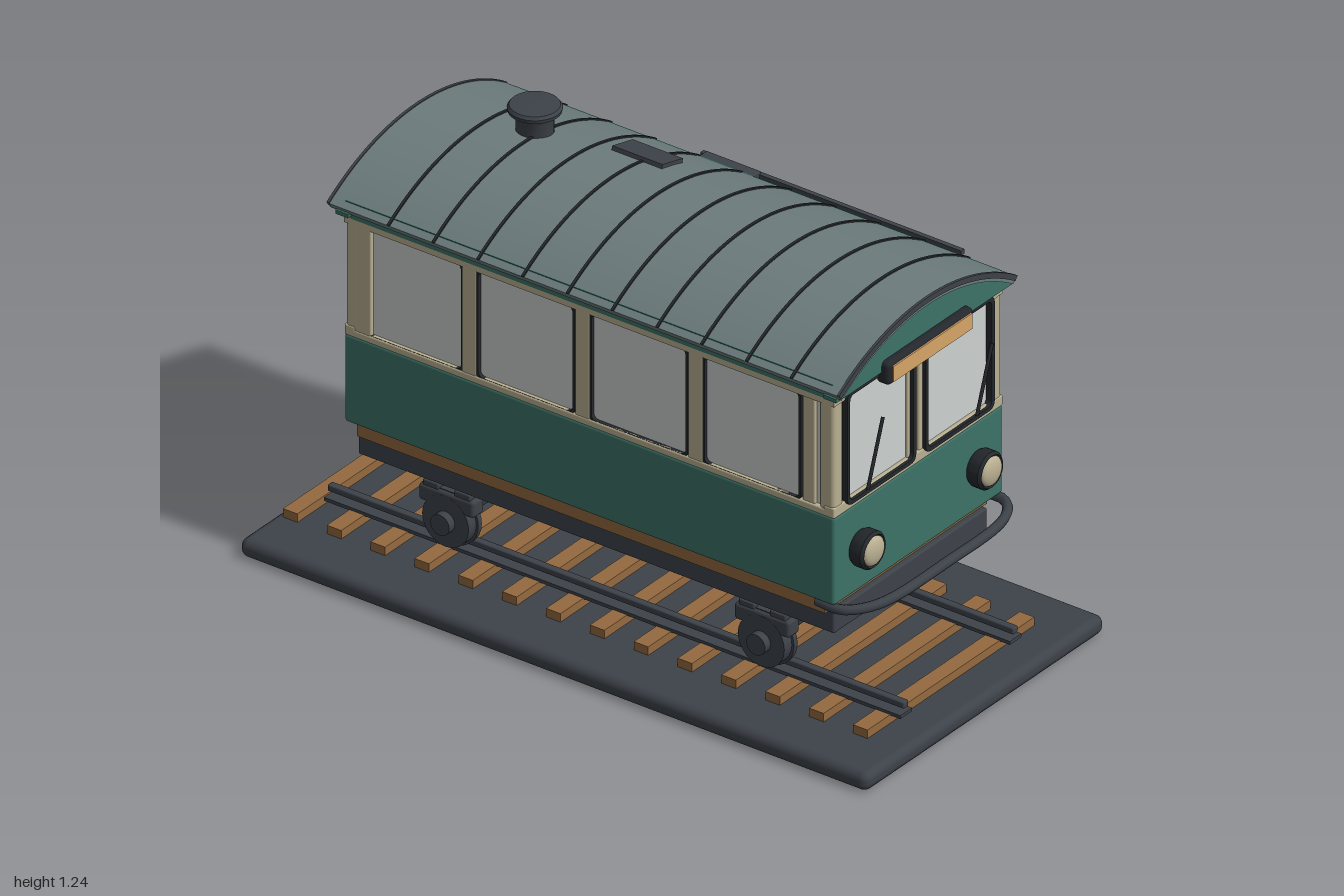
import * as THREE from 'three';
import { toCreasedNormals } from 'three/addons/utils/BufferGeometryUtils.js';
import { RoundedBoxGeometry } from 'three/addons/geometries/RoundedBoxGeometry.js';

const mat = (name, color) => Object.assign(new THREE.MeshStandardMaterial({ color }), { name });
const green = mat('body green', 0x3c7368), cream = mat('cream trim', 0xbab092), wood = mat('wood', 0x94693f);
const dark = mat('dark metal', 0x3d4249), black = mat('black rubber', 0x24282c), glass = mat('pale glass', 0xcdd1d0);
const roofGrey = mat('roof grey', 0x6c7b7c), amber = mat('sign amber', 0xd6a468), rust = mat('rust', 0xa8683a);

export function createModel() {
  const model = new THREE.Group();
  model.position.x = -0.01;
  model.name = 'tram';

  const add = (name, geo, m, x = 0, y = 0, z = 0) => {
    const mesh = new THREE.Mesh(geo, m);
    mesh.name = name;
    mesh.position.set(x, y, z);
    model.add(mesh);
    return mesh;
  };
  // Box given by its extents, with optional rounded edges
  const box = (name, m, x0, x1, y0, y1, z0, z1, r = 0) => {
    const s = [x1 - x0, y1 - y0, z1 - z0];
    const geo = r ? new RoundedBoxGeometry(...s, 2, r) : new THREE.BoxGeometry(...s);
    return add(name, geo, m, (x0 + x1) / 2, (y0 + y1) / 2, (z0 + z1) / 2);
  };
  // The same box on the right (-x) and left (+x)
  const pair = (name, m, x0, x1, ...rest) => {
    box(name, m, x0, x1, ...rest);
    box(name, m, -x1, -x0, ...rest);
  };
  const roundRect = (P, w, h, r) => {
    const p = new P(), x = w / 2, y = h / 2;
    p.moveTo(-x + r, -y).lineTo(x - r, -y).quadraticCurveTo(x, -y, x, -y + r);
    p.lineTo(x, y - r).quadraticCurveTo(x, y, x - r, y).lineTo(-x + r, y);
    p.quadraticCurveTo(-x, y, -x, y - r).lineTo(-x, -y + r).quadraticCurveTo(-x, -y, -x + r, -y);
    return p;
  };
  // Rounded ring around a window, facing +z before turning
  const frame = (name, m, w, h, t, depth, x, y, z, turn = 0) => {
    const s = roundRect(THREE.Shape, w, h, 0.025);
    s.holes.push(roundRect(THREE.Path, w - 2 * t, h - 2 * t, 0.018));
    const geo = new THREE.ExtrudeGeometry(s, { depth, bevelEnabled: false, curveSegments: 5 });
    geo.translate(0, 0, -depth / 2);
    add(name, geo, m, x, y, z).rotation.y = turn;
  };
  const tube = (name, m, pts, r, n = 24) => add(name, new THREE.TubeGeometry(
    new THREE.CatmullRomCurve3(pts.map(p => new THREE.Vector3(...p))), n, r, 8), m);

  // Ground slab and track
  box('groundSlab', dark, -0.51, 0.51, 0, 0.055, -1, 1, 0.024);
  for (let i = 0; i < 14; i++) {
    const z = -0.95 + i * 0.1396;
    box('sleeper', wood, -0.355, 0.355, 0.053, 0.08, z - 0.023, z + 0.023);
  }
  pair('railFoot', dark, 0.208, 0.258, 0.078, 0.088, -0.915, 0.92);
  pair('railHead', dark, 0.222, 0.244, 0.1, 0.119, -0.915, 0.92, 0.004);

  // Wheel sets
  for (const z of [0.515, -0.49]) {
    box('axleBeam', dark, -0.3, 0.3, 0.21, 0.277, z - 0.04, z + 0.04);
    add('axle', new THREE.CylinderGeometry(0.02, 0.02, 0.66, 16), dark, 0, 0.19, z).rotation.z = Math.PI / 2;
    for (const s of [-1, 1]) {
      const disc = (name, r, len, x, m = dark) =>
        add(name, new THREE.CylinderGeometry(r, r, len, 28), m, s * x, 0.19, z).rotation.z = Math.PI / 2;
      disc('wheel', 0.074, 0.045, 0.287);
      disc('wheelFlange', 0.081, 0.015, 0.27);
      disc('wheelHub', 0.03, 0.03, 0.318);
      const x = s * 0.285;
      box('axleBox', dark, x - 0.024, x + 0.024, 0.225, 0.275, z - 0.088, z + 0.088, 0.01);
      for (const k of [-1, 1])
        box('springPad', dark, x - 0.022, x + 0.022, 0.272, 0.29, z + k * 0.05 - 0.025, z + k * 0.05 + 0.025, 0.004);
    }
  }

  // Underframe, floor and bumper
  box('chassis', dark, -0.327, 0.327, 0.305, 0.372, -0.755, 0.76, 0.006);
  box('woodenFloor', wood, -0.345, 0.345, 0.37, 0.412, -0.745, 0.745);
  tube('bumper', dark, [[-0.345, 0.4, 0.72], [-0.345, 0.4, 0.8], [-0.27, 0.4, 0.855], [0, 0.4, 0.87],
    [0.27, 0.4, 0.855], [0.345, 0.4, 0.8], [0.345, 0.4, 0.72]], 0.014, 40);

  // Lower walls, with a doorway on the left side
  const wallX = (name, m, y0, y1, t, r) => {
    box(name, m, -0.36, -0.36 + t, y0, y1, -0.77, 0.78, r);
    box(name, m, 0.36 - t, 0.36, y0, y1, 0.3, 0.78, r);
    box(name, m, 0.36 - t, 0.36, y0, y1, -0.77, -0.01, r);
  };
  const wallZ = (name, m, y0, y1, t, r) => {
    box(name, m, -0.36, 0.36, y0, y1, 0.785 - t, 0.785, r);
    box(name, m, -0.36, 0.36, y0, y1, -0.775, -0.775 + t, r);
  };
  wallX('lowerSideWall', green, 0.41, 0.672, 0.03, 0.01);
  wallZ('lowerEndWall', green, 0.41, 0.672, 0.03, 0.01);
  wallX('sideSill', cream, 0.668, 0.69, 0.034, 0.005);
  wallZ('endSill', cream, 0.668, 0.7, 0.034, 0.005);
  wallX('sideTopRail', cream, 1.0, 1.017, 0.028);
  wallZ('endTopRail', cream, 1.0, 1.03, 0.028);
  pair('sideHeader', green, 0.33, 0.36, 1.015, 1.065, -0.77, 0.78);

  // Corner and window posts
  for (const [z0, z1] of [[0.735, 0.783], [-0.773, -0.725]])
    pair('cornerPost', cream, 0.315, 0.358, 0.67, 1.03, z0, z1, 0.012);
  pair('frontSidePost', cream, 0.33, 0.355, 0.68, 1.01, 0.68, 0.72, 0.005);
  for (const z of [-0.02, 0.028]) box('endMullion', cream, z - 0.022, z + 0.014, 0.68, 1.02, 0.75, 0.782, 0.005);
  box('rearMullion', cream, -0.022, 0.022, 0.68, 1.02, -0.774, -0.74, 0.005);
  for (const z of [-0.715, -0.378, -0.018, 0.342])
    box('sidePost', cream, -0.358, -0.325, 0.68, 1.01, z - 0.024, z + 0.024, 0.005);
  for (const z of [-0.715, -0.378, -0.022, 0.342])
    box('sidePost', cream, 0.325, 0.358, 0.68, 1.01, z - 0.024, z + 0.024, 0.005);

  // Window glass and seals
  const side = Math.PI / 2;
  [-0.555, -0.2, 0.16, 0.52].forEach((z, i) => {
    for (const s of i === 2 ? [-1] : [-1, 1]) {
      box('sideGlass', glass, s * 0.342 - 0.004, s * 0.342 + 0.004, 0.68, 1.01, z - 0.16, z + 0.16);
      frame('sideSeal', black, 0.316, 0.328, 0.008, 0.014, s * 0.35, 0.846, z, side);
    }
  });
  pair('cornerGlass', glass, 0.338, 0.346, 0.68, 1.01, 0.69, 0.74);
  for (const x of [-0.167, 0.167]) {
    box('frontGlass', glass, x - 0.145, x + 0.145, 0.69, 1.02, 0.766, 0.774);
    frame('frontSeal', black, 0.294, 0.335, 0.012, 0.022, x, 0.853, 0.782);
    box('rearGlass', glass, x - 0.15, x + 0.15, 0.69, 1.02, -0.764, -0.756);
    frame('rearSeal', black, 0.298, 0.33, 0.007, 0.014, x, 0.853, -0.764);
  }

  // Wipers, headlights and destination board
  for (const x of [-0.23, 0.235]) {
    tube('wiper', black, [[x, 0.7, 0.795], [x + 0.065, 0.885, 0.795]], 0.005, 2);
  }
  for (const x of [-0.25, 0.25]) {
    const rim = [[0, 0], [0.046, 0], [0.053, 0.012], [0.053, 0.042], [0.046, 0.05], [0.042, 0.046], [0, 0.046]];
    const rimGeo = new THREE.LatheGeometry(rim.map(p => new THREE.Vector2(...p)), 32);
    add('headlightRim', toCreasedNormals(rimGeo, 0.6), black, x, 0.54, 0.783).rotation.x = side;
    const lens = add('headlightLens', new THREE.SphereGeometry(0.042, 24, 8, 0, Math.PI * 2, 0, side), cream, x, 0.54, 0.828);
    lens.rotation.x = side;
    lens.scale.y = 0.4;
  }
  box('signCase', black, -0.18, 0.185, 0.988, 1.056, 0.78, 0.825, 0.014);
  box('signFace', amber, -0.165, 0.17, 0.999, 1.045, 0.821, 0.829);

  // Arched roof, seams and end gables
  const cy = 0.48, edge = 0.585;
  const arch = (r0, r1, depth, z, name, m) => {
    const s = new THREE.Shape();
    s.absarc(0, cy, r1, side - edge, side + edge, false);
    s.absarc(0, cy, r0, side + edge, side - edge, true);
    const geo = new THREE.ExtrudeGeometry(s, { depth, bevelEnabled: false, curveSegments: 28 });
    add(name, toCreasedNormals(geo, 0.5), m, 0, 0, z);
  };
  arch(0.663, 0.685, 1.625, -0.812, 'roof', roofGrey);
  for (let i = 0; i < 10; i++) arch(0.68, 0.689, 0.008, -0.624 + i * 0.1425, 'roofSeam', black);
  for (const z of [-0.816, 0.808]) arch(0.672, 0.688, 0.008, z, 'roofEdge', dark);
  const gable = new THREE.Shape();
  gable.absarc(0, cy, 0.67, side - 0.592, side + 0.592, false);
  gable.lineTo(-0.374, 1.025).lineTo(0.374, 1.025);
  const gableGeo = new THREE.ExtrudeGeometry(gable, { depth: 0.04, bevelEnabled: false, curveSegments: 28 });
  add('frontGable', gableGeo, green, 0, 0, 0.762);
  add('rearGable', gableGeo, green, 0, 0, -0.792);

  // Chimney and roof hatch
  const stack = [[0.05, 1.13], [0.05, 1.2], [0.056, 1.212], [0.07, 1.218], [0.072, 1.228], [0.066, 1.236], [0, 1.237]];
  add('chimney', toCreasedNormals(new THREE.LatheGeometry(stack.map(p => new THREE.Vector2(...p)), 32), 0.5), dark, 0.085, 0, -0.5);
  box('roofHatch', dark, 0.13, 0.22, 1.135, 1.153, -0.29, -0.13).rotation.z = -0.25;

  // Open sliding door with its handle and tracks
  const dx = 0.393;
  box('doorPanel', green, dx - 0.01, dx + 0.01, 0.425, 0.685, 0.325, 0.61);
  box('doorGlass', glass, dx - 0.004, dx + 0.004, 0.68, 1.02, 0.325, 0.61);
  for (const [z0, z1] of [[0.312, 0.335], [0.598, 0.62]])
    box('doorStile', cream, dx - 0.015, dx + 0.015, 0.42, 1.04, z0, z1, 0.005);
  for (const [y0, y1] of [[1.015, 1.04], [0.675, 0.695]])
    box('doorRail', cream, dx - 0.014, dx + 0.014, y0, y1, 0.32, 0.612, 0.005);
  tube('doorHandle', cream, [[0.405, 0.695, 0.33], [0.435, 0.72, 0.33], [0.447, 0.76, 0.33],
    [0.437, 0.805, 0.33], [0.408, 0.826, 0.33]], 0.006);
  box('doorTrack', dark, 0.388, 0.402, 1.042, 1.056, -0.2, 0.63);
  box('trackBox', dark, 0.355, 0.395, 1.0, 1.064, -0.185, -0.012, 0.004);
  box('doorPost', dark, 0.33, 0.372, 0.41, 1.03, 0.28, 0.311);
  box('doorPost', dark, 0.33, 0.385, 0.41, 1.03, -0.022, 0.008);
  box('doorSill', dark, 0.32, 0.418, 0.402, 0.432, 0.005, 0.285, 0.006);
  box('stepBoard', dark, 0.365, 0.525, 0.325, 0.356, -0.02, 0.3, 0.01);

  // Fittings beside the doorway
  box('lampBox', dark, 0.35, 0.38, 0.89, 0.94, -0.055, -0.02);
  box('fittingStrip', dark, 0.355, 0.366, 0.7, 1.0, -0.04, -0.022);
  box('paleTag', cream, 0.355, 0.375, 0.808, 0.832, -0.108, -0.055);
  box('greyTag', roofGrey, 0.355, 0.375, 0.766, 0.79, -0.085, -0.04);
  box('woodTag', rust, 0.355, 0.375, 0.72, 0.746, -0.066, -0.025);
  box('servicePanel', dark, 0.355, 0.37, 0.478, 0.6, -0.222, -0.038);
  for (const y of [0.492, 0.586]) for (const z of [-0.208, -0.052])
    box('panelBolt', roofGrey, 0.368, 0.374, y - 0.005, y + 0.005, z - 0.005, z + 0.005);

  // Rust flecks near the ends of the door side
  let seed = 7;
  const rnd = () => (seed = (seed * 16807) % 2147483647) / 2147483647;
  for (const zc of [0.7, -0.69]) for (let i = 0; i < 22; i++) {
    const y = 0.43 + 0.2 * rnd(), z = zc + (rnd() - 0.5) * 0.07, h = 0.003 + 0.005 * rnd();
    box('rustFleck', rust, 0.359, 0.362, y - h, y + h, z - 0.004, z + 0.004);
  }

  // Interior: ceiling, plank partition, cabinet and hand grips
  box('ceiling', wood, -0.33, 0.33, 1.03, 1.04, -0.75, 0.75);
  for (let i = 0; i < 8; i++)
    box('partitionPlank', wood, -0.325, 0.325, 0.412 + i * 0.077, 0.484 + i * 0.077, -0.05, -0.03);
  box('cabinet', wood, -0.33, -0.16, 0.412, 0.635, -0.03, 0.3);
  box('cabinetTop', wood, -0.33, -0.15, 0.635, 0.662, -0.03, 0.3, 0.004);
  for (const [z0, z1] of [[0.06, 0.208], [0.218, 0.275]])
    box('cabinetDoor', green, -0.162, -0.154, 0.43, 0.625, z0, z1);
  box('cabinetLatch', black, -0.156, -0.148, 0.555, 0.563, 0.11, 0.16);
  box('cabinetTray', dark, -0.26, -0.2, 0.66, 0.678, 0.1, 0.165);
  for (const z of [0.2, 0.09]) box('handGrip', black, -0.32, -0.3, 0.785, 0.828, z - 0.011, z + 0.011, 0.008);
  tube('lever', wood, [[-0.28, 0.66, 0.2], [-0.28, 0.73, 0.212], [-0.28, 0.785, 0.2]], 0.005);

  return model;
}
